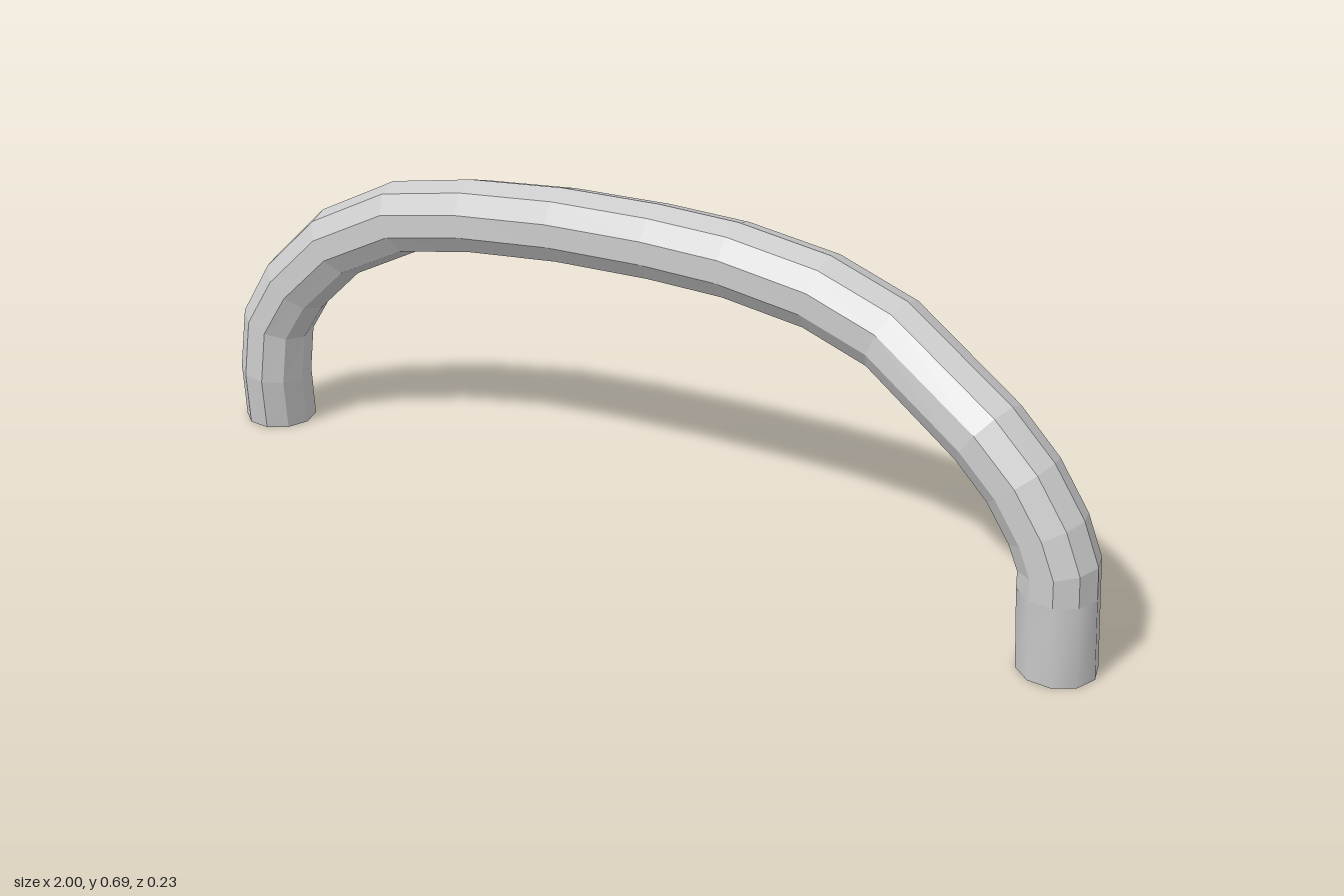
import * as THREE from 'three';

const SIDES = 10;
const RADIUS = 0.075;

// Centre line of the bent bar, from the left-hand foot over the arch to the other foot
const PATH = [
  [-0.925, 0, 0.032], [-0.917, 0.12, 0.046], [-0.903, 0.235, 0.042], [-0.842, 0.335, 0.036],
  [-0.725, 0.45, 0.028], [-0.555, 0.54, 0.018], [-0.375, 0.578, 0.007], [-0.165, 0.603, -0.005],
  [0.045, 0.613, -0.018], [0.21, 0.612, -0.028], [0.39, 0.59, -0.038], [0.535, 0.54, -0.046],
  [0.76, 0.425, 0], [0.835, 0.355, 0.002], [0.89, 0.275, 0.002], [0.916, 0.213, 0.002],
  [0.918, 0.165, 0.002], [0.924, 0, -0.007],
].map((p) => new THREE.Vector3(...p));

// Ten-sided cross-section square to the path; the feet are cut level
function ringAt(i) {
  const last = PATH.length - 1;
  const dir = (a, b) => PATH[b].clone().sub(PATH[a]).normalize();
  const t = new THREE.Vector3();
  if (i === 0) t.set(0, 1, 0);
  else if (i >= last - 1) t.set(0, -1, 0);
  else t.add(dir(i - 1, i)).add(dir(i, i + 1)).normalize();
  const n = new THREE.Vector3(-t.y, t.x, 0).normalize();
  const b = new THREE.Vector3().crossVectors(t, n);
  return Array.from({ length: SIDES }, (_, j) => {
    const a = (j / SIDES) * Math.PI * 2;
    return PATH[i].clone()
      .addScaledVector(n, RADIUS * Math.cos(a))
      .addScaledVector(b, RADIUS * Math.sin(a));
  });
}

// Skin a run of rings
function loft(rings) {
  const index = [];
  for (let i = 0; i < rings.length - 1; i++) {
    for (let j = 0; j < SIDES; j++) {
      const k = (j + 1) % SIDES;
      const a = i * SIDES + j, b = i * SIDES + k;
      const c = b + SIDES, d = a + SIDES;
      index.push(a, b, c, a, c, d);
    }
  }
  const geometry = new THREE.BufferGeometry().setFromPoints(rings.flat());
  geometry.setIndex(index);
  geometry.computeVertexNormals();
  return geometry;
}

export function createModel() {
  const group = new THREE.Group();
  group.name = 'archedHandle';
  const flat = new THREE.MeshStandardMaterial({ color: 0xcccccc, flatShading: true });
  const smooth = new THREE.MeshStandardMaterial({ color: 0xcccccc });

  const add = (name, geometry, material) => {
    const mesh = new THREE.Mesh(geometry, material);
    mesh.name = name;
    group.add(mesh);
    return mesh;
  };

  const rings = PATH.map((_, i) => ringAt(i));

  // Faceted arch and the smooth straight foot that carries it on
  add('archBar', loft(rings.slice(0, -1)), flat);
  add('smoothFoot', loft(rings.slice(-2)), smooth);

  // Level end faces
  for (const [name, p] of [['rightEndCap', PATH[0]], ['leftEndCap', PATH[PATH.length - 1]]]) {
    const cap = new THREE.CircleGeometry(RADIUS, SIDES).rotateX(Math.PI / 2);
    add(name, cap, flat).position.copy(p);
  }
  return group;
}
